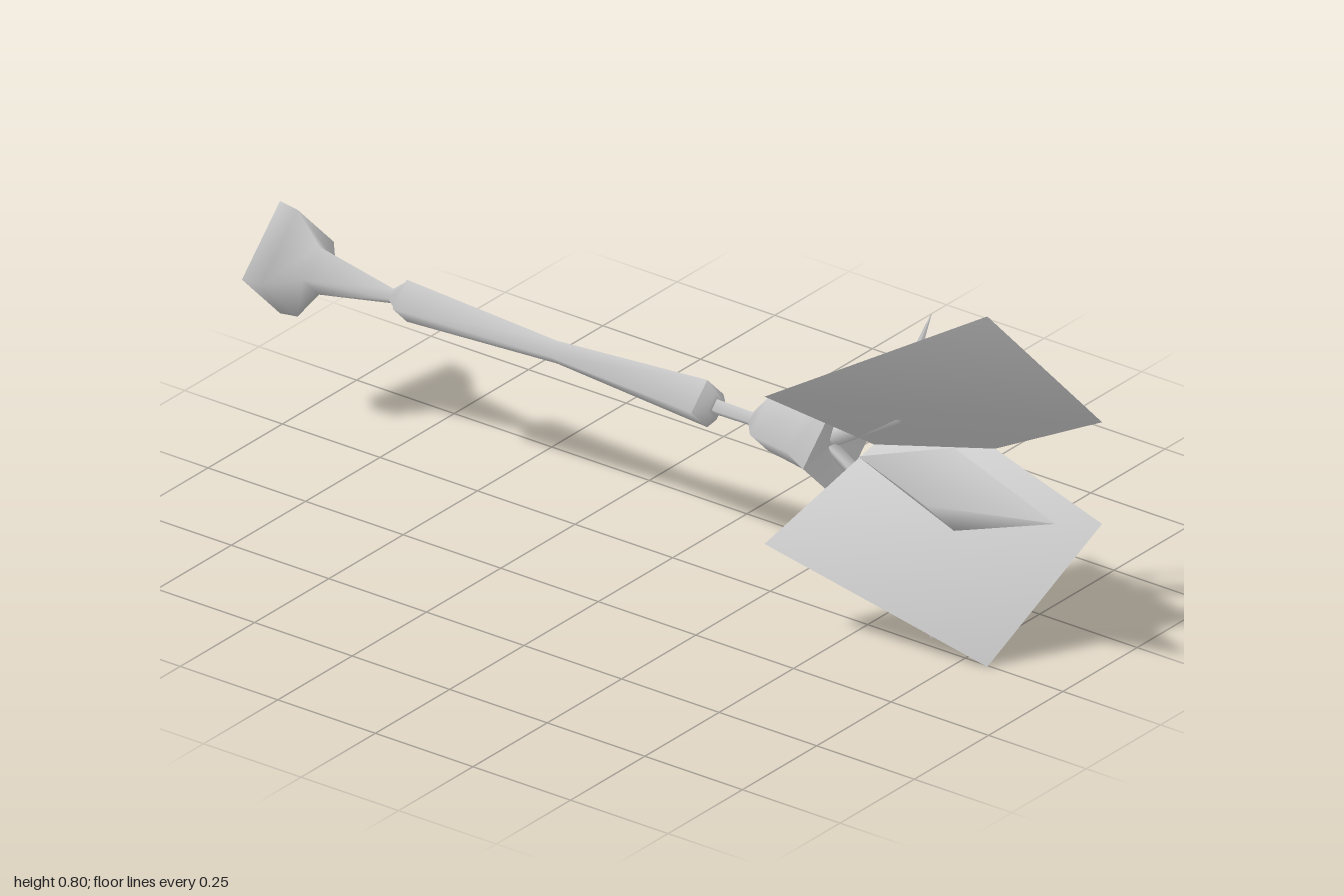
import * as THREE from 'three';

export function createModel() {
  const group = new THREE.Group();
  const grey = new THREE.MeshStandardMaterial({ color: 0xcccccc, side: THREE.DoubleSide });
  grey.name = 'plain grey';

  const add = (name, geometry) => {
    const mesh = new THREE.Mesh(geometry, grey);
    mesh.name = name;
    group.add(mesh);
    return mesh;
  };

  // four-sided turned part lying along x; profile is [x, radius]
  const turned = (name, profile, z = 0.008) => {
    const points = profile.map(([x, r]) => new THREE.Vector2(r, x));
    const geometry = new THREE.LatheGeometry(points, 4);
    geometry.rotateZ(-Math.PI / 2);
    geometry.translate(0, 0.388, z);
    return add(name, geometry);
  };

  // shaft
  turned('pommelCap', [[-1, 0], [-1, 0.128]]);
  turned('pommel', [[-1, 0.128], [-0.955, 0.122], [-0.9, 0.055], [-0.705, 0.016]]);
  turned('gripEnd', [[-0.71, 0.016], [-0.67, 0.048]]);
  turned('grip', [[-0.675, 0.048], [-0.29, 0.026], [0.095, 0.054]]);
  turned('gripCollar', [[0.095, 0.054], [0.118, 0.03], [0.12, 0.016]]);
  turned('neck', [[0.11, 0.018], [0.22, 0.016]]);
  turned('head', [[0.215, 0.02], [0.25, 0.06], [0.355, 0.077], [0.43, 0.118]]);
  turned('headCap', [[0.43, 0.118], [0.41, 0]]);

  // crystal at the tip
  turned('crystal', [[0.485, 0], [0.73, 0.095], [0.99, 0]], 0.012);

  // two bent prongs and two blades, mirrored about the middle height
  const midY = 0.404;
  const sections = [ // centre x, height, half width, half depth
    [0.41, 0.0, 0.02, 0.008],
    [0.57, 0.105, 0.026, 0.011],
    [0.668, 0.362, 0.001, 0.001],
  ];
  const blade = [[0.39, 0.168, 0.203], [0.81, 0.4, 0.005], [0.945, 0.116, -0.204], [0.545, -0.077, -0.13]];

  for (const side of [1, -1]) {
    const label = side > 0 ? 'upper' : 'lower';
    const position = [], index = [];
    sections.forEach(([x, h, w, d], i) => {
      for (const [a, b] of [[1, 0], [0, 1], [-1, 0], [0, -1]]) {
        position.push(x + a * w * 0.8, (side > 0 ? midY : 0.388) + side * (h - a * w * 0.6), 0.007 + b * d);
      }
      if (i === 0) return;
      for (let k = 0; k < 4; k++) {
        const p = (i - 1) * 4 + k, q = (i - 1) * 4 + (k + 1) % 4;
        if (side > 0) index.push(p, q, p + 4, q, q + 4, p + 4);
        else index.push(p, p + 4, q, q, p + 4, q + 4);
      }
    });
    const prong = new THREE.BufferGeometry();
    prong.setAttribute('position', new THREE.Float32BufferAttribute(position, 3));
    prong.setIndex(index);
    prong.computeVertexNormals();
    add(label + 'Prong', prong);

    const corners = blade.flatMap(([x, h, z]) => [x, midY + side * h, z]);
    const plate = new THREE.BufferGeometry();
    plate.setAttribute('position', new THREE.Float32BufferAttribute(corners, 3));
    plate.setIndex(side > 0 ? [0, 1, 2, 0, 2, 3] : [0, 2, 1, 0, 3, 2]);
    plate.computeVertexNormals();
    add(label + 'Blade', plate);
  }
  return group;
}
